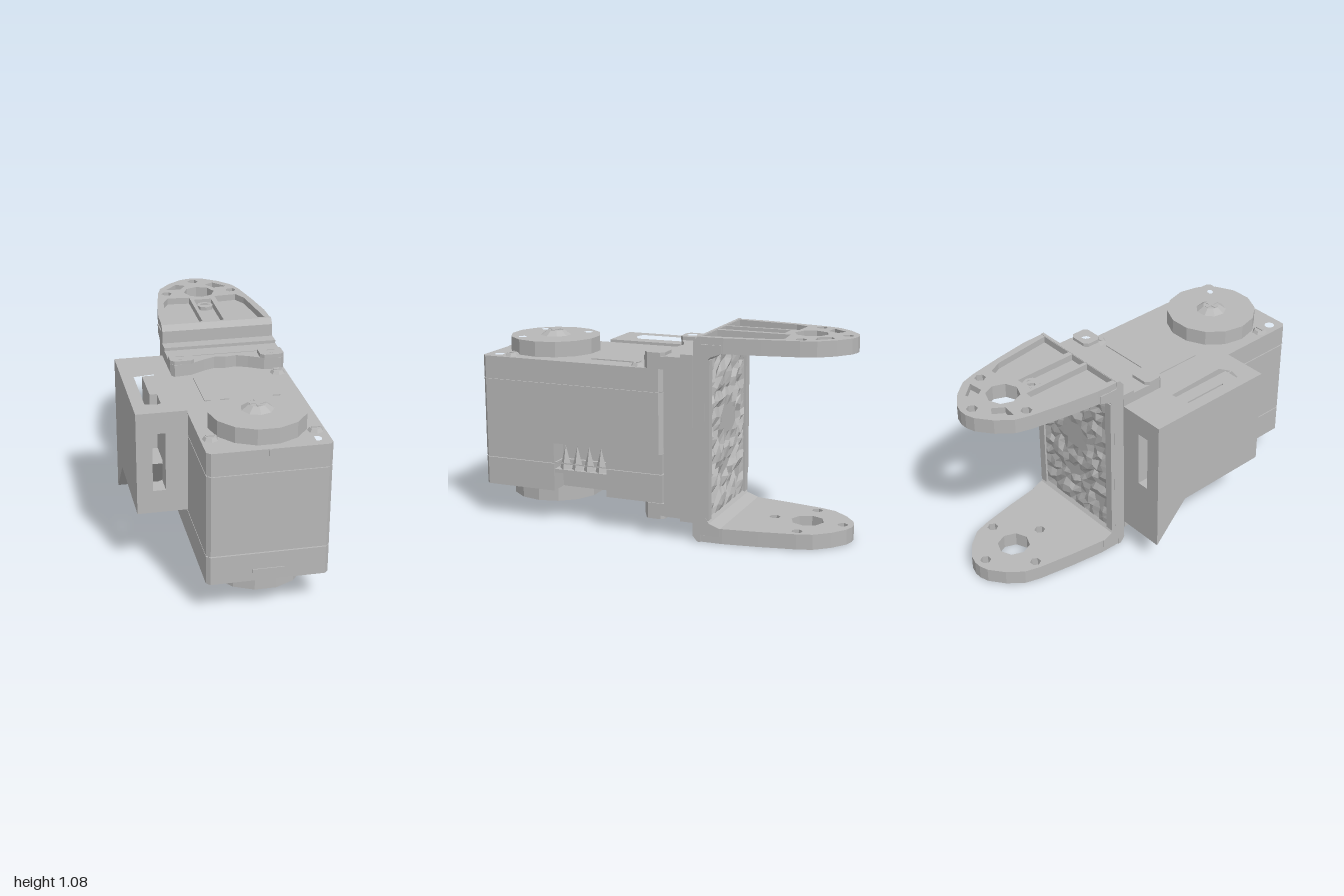
import * as THREE from 'three';

export function createModel() {
  const grey = new THREE.MeshStandardMaterial({ color: 0xb8b8b8, flatShading: true });
  grey.name = 'plain grey';
  const model = new THREE.Group();
  model.name = 'servoWithBrackets';
  // Everything is laid out around the servo's own centre line
  const unit = new THREE.Group();
  unit.name = 'servoUnit';
  unit.position.x = 0.13;
  model.add(unit);

  const add = (name, geo, parent = unit) => {
    const m = new THREE.Mesh(geo, grey);
    m.name = name;
    parent.add(m);
    return m;
  };
  const box = (name, x0, x1, y0, y1, z0, z1, parent) =>
    add(name, new THREE.BoxGeometry(x1 - x0, y1 - y0, z1 - z0)
      .translate((x0 + x1) / 2, (y0 + y1) / 2, (z0 + z1) / 2), parent);
  const poly = pts => new THREE.Shape(pts.map(([x, z]) => new THREE.Vector2(x, -z)));
  const rect = (x0, x1, z0, z1, c = 0) => poly(c
    ? [[x0 + c, z0], [x1 - c, z0], [x1, z0 + c], [x1, z1 - c], [x1 - c, z1], [x0 + c, z1], [x0, z1 - c], [x0, z0 + c]]
    : [[x0, z0], [x1, z0], [x1, z1], [x0, z1]]);
  const disc = (x, z, r, n = 8) => poly(Array.from({ length: n }, (_, i) => {
    const a = (i / n) * Math.PI * 2;
    return [x + r * Math.cos(a), z + r * Math.sin(a)];
  }));
  // Plan outline pulled up from y0 to y1
  const slab = (name, shape, holes, y0, y1, parent) => {
    shape.holes = holes;
    const g = new THREE.ExtrudeGeometry(shape, { depth: y1 - y0, bevelEnabled: false });
    return add(name, g.rotateX(-Math.PI / 2).translate(0, y0, 0), parent);
  };
  // Side outline in (z, y) pulled across from x0 to x1
  const across = (name, pts, x0, x1, parent) => {
    const s = new THREE.Shape(pts.map(p => new THREE.Vector2(...p)));
    const g = new THREE.ExtrudeGeometry(s, { depth: x1 - x0, bevelEnabled: false });
    return add(name, g.rotateY(-Math.PI / 2).translate(x1, 0, 0), parent);
  };

  // Servo case: lower part with the connector notch, middle and cap
  const screwHoles = () => [disc(-0.25, 0.93, 0.028), disc(0.24, 0.93, 0.028)];
  const notched = x => poly([[-0.31, -0.05], [0.31, -0.05], [0.31, 0.27], [x, 0.27],
    [x, 0.58], [0.31, 0.58], [0.31, 0.98], [0.29, 1], [-0.29, 1], [-0.31, 0.98]]);
  slab('caseBase', notched(0.2), screwHoles(), 0.185, 0.337);
  slab('caseLower', notched(0.2), screwHoles(), 0.343, 0.45);
  slab('caseSeam', rect(-0.3, 0.3, -0.04, 0.99), [...screwHoles(), rect(0.2, 0.301 - 0.003, 0.27, 0.58)], 0.337, 0.343);
  slab('caseMiddle', rect(-0.31, 0.31, -0.05, 1, 0.02), screwHoles(), 0.45, 0.775);
  slab('capSeam', rect(-0.303, 0.303, -0.045, 0.993), screwHoles(), 0.775, 0.781);
  slab('caseCap', rect(-0.31, 0.31, -0.05, 1, 0.02), screwHoles(), 0.781, 0.9);
  box('topPanel', -0.2, 0.2, 0.9, 0.906, 0.1, 0.4);
  box('frontTab', -0.08, 0.08, 0.195, 0.25, 1, 1.005);
  box('frontNick', -0.008, 0.008, 0.865, 0.9, 1, 1.004);

  // Connector shelf and pins
  box('connectorShelf', 0.19, 0.3, 0.285, 0.305, 0.27, 0.58);
  for (let i = 0; i < 4; i++) {
    const pin = add('connectorPin', new THREE.ConeGeometry(0.035, 0.13, 4));
    pin.position.set(0.265, 0.37, 0.32 + i * 0.07);
  }

  // Bolts sunk in the case corners
  for (const [x, z] of [[0.26, 0.84], [-0.26, 0.84], [0.26, 0.1]]) {
    const bolt = add('caseBolt', new THREE.CylinderGeometry(0.03, 0.042, 0.018, 7));
    bolt.position.set(x, 0.908, z);
    box('boltSlot', x - 0.022, x + 0.022, 0.916, 0.922, z - 0.006, z + 0.006);
  }

  // Parts repeated on the top and underside, mirrored about the mid height
  const half = (name, mirrored) => {
    const g = new THREE.Group();
    g.name = name;
    if (mirrored) {
      g.scale.y = -1;
      g.position.y = 1.083;
    }
    unit.add(g);

    // Servo horn with four small holes and a cross-head screw
    const hornHoles = [0, 1, 2, 3].map(i => {
      const a = Math.PI / 4 + i * Math.PI / 2;
      return disc(0.19 * Math.cos(a), 0.71 + 0.19 * Math.sin(a), 0.025, 6);
    });
    slab('hornDisc', disc(0, 0.71, 0.248, 14), hornHoles, 0.895, 0.983, g);
    if (!mirrored) {
      const screw = add('hornScrew', new THREE.CylinderGeometry(0.045, 0.088, 0.03, 9), g);
      screw.position.set(0, 0.995, 0.71);
      box('screwCross', -0.04, 0.04, 1.009, 1.013, 0.7, 0.72, g);
      box('screwCross', -0.01, 0.01, 1.009, 1.013, 0.67, 0.75, g);
    } else {
      add('hornSocket', new THREE.TorusGeometry(0.075, 0.012, 4, 6).rotateX(Math.PI / 2), g)
        .position.set(0, 0.983, 0.71);
    }

    // Mounting lip with two ears
    slab('mountLip', poly([[-0.31, -0.15], [0.31, -0.15], [0.31, 0.03], [0.29, 0.055], [0.2, 0.045],
      [0.12, 0], [0.06, -0.025], [0, -0.015], [-0.06, -0.025], [-0.12, 0], [-0.2, 0.045], [-0.29, 0.055], [-0.31, 0.03]]),
    [disc(-0.25, 0, 0.03), disc(0.25, 0, 0.03)], 0.9, 0.965, g);
    for (const s of [-1, 1]) slab('mountEar', rect(s * 0.245 - 0.065, s * 0.245 + 0.065, -0.06, 0.05, 0.02),
      [disc(s * 0.25, 0, 0.03)], 0.965, 0.985, g);

    // Fork arm: thin floor below, rim and ribs above
    const edge = [[0.31, -0.25], [0.302, -0.38], [0.275, -0.57], [0.24, -0.76], [0.215, -0.84],
      [0.15, -0.92], [0.07, -0.98], [0.02, -0.995]];
    const outline = z0 => {
      const right = [[0.305, z0], ...edge.slice(1)];
      return poly([...right, ...right.map(([x, z]) => [-x, z]).reverse()]);
    };
    const bores = () => [disc(0, -0.75, 0.088), disc(0, -0.94, 0.03, 6),
      disc(-0.19, -0.75, 0.03, 6), disc(0.19, -0.75, 0.03, 6)];
    slab('armFloor', outline(-0.3), [...bores(), disc(0, -0.57, 0.03, 6)], 1.0, 1.045, g);
    const pockets = [poly([[-0.055, -0.265], [0.045, -0.265], [0.045, -0.62], [-0.055, -0.62]])];
    for (const s of [-1, 1]) {
      pockets.push(poly([[s * 0.075, -0.265], [s * 0.275, -0.265], [s * 0.235, -0.6], [s * 0.2, -0.67], [s * 0.075, -0.66]]));
      pockets.push(poly([[s * 0.1, -0.81], [s * 0.18, -0.82], [s * 0.11, -0.9], [s * 0.06, -0.87]]));
    }
    slab('armRim', outline(-0.25), [...bores(), ...pockets], 1.045, 1.081, g);
    slab('armBoss', disc(0, -0.57, 0.046), [disc(0, -0.57, 0.03, 6)], 1.045, 1.065, g);
  };
  half('upperHalf', false);
  half('lowerHalf', true);

  // Mounting plate between servo and fork
  box('mountPlate', -0.31, 0.31, 0.115, 0.968, -0.2, -0.06);
  box('mountBacking', -0.31, 0.31, 0.1, 0.985, -0.22, -0.15);

  // Fork back with chamfered corners
  across('forkBack', [[-0.22, 0.03], [-0.245, 0], [-0.262, 0], [-0.262, 0.04], [-0.37, 0.04], [-0.37, 0.083],
    [-0.31, 0.105], [-0.285, 0.14], [-0.285, 0.943], [-0.31, 0.978], [-0.37, 1.0], [-0.37, 1.043],
    [-0.262, 1.043], [-0.262, 1.083], [-0.245, 1.083], [-0.22, 1.053]], -0.308, 0.308);
  for (const s of [-1, 1]) box('forkBackEdge', s * 0.285 - 0.022, s * 0.285 + 0.022, 0.12, 0.963, -0.308, -0.28);

  // Rough faceted relief on the inner face of the fork, smooth in the middle
  let seed = 7;
  const rnd = () => (seed = (seed * 16807) % 2147483647) / 2147483647;
  const relief = new THREE.PlaneGeometry(0.53, 0.84, 13, 21);
  const p = relief.attributes.position;
  for (let i = 0; i < p.count; i++) {
    const x = p.getX(i), y = p.getY(i);
    const border = Math.abs(x) > 0.25 || Math.abs(y) > 0.4;
    const middle = Math.hypot(x, y - 0.05) < 0.11;
    const k = border ? 0 : 0.022;
    p.setXYZ(i, x + (rnd() - 0.5) * k, y + (rnd() - 0.5) * k,
      border ? 0.01 : middle ? 0.014 : rnd() < 0.45 ? 0.001 : 0.013 + rnd() * 0.012);
  }
  relief.computeVertexNormals();
  add('forkRelief', relief.rotateY(Math.PI).translate(0, 0.5415, -0.286));

  // Side cable holder: crossing openings from the top and from the front
  const holder = new THREE.Group();
  holder.name = 'cableHolder';
  unit.add(holder);
  const x0 = -0.575, x1 = -0.31, zB = -0.22, zF = 0.525;
  const slot = () => poly([[-0.51, 0.05], [-0.4, 0.035], [-0.39, 0.39], [-0.45, 0.425], [-0.51, 0.41]]);
  slab('holderTop', rect(x0, x1, zB, zF), [slot()], 0.8, 0.915, holder);
  slab('holderFloor', rect(x0, x1, zB, zF), [slot()], 0.355, 0.48, holder);
  box('holderOuterWall', x0, -0.515, 0.48, 0.8, zB, zF, holder);
  box('holderInnerWall', -0.385, x1, 0.48, 0.8, zB, zF, holder);
  for (const [a, b] of [[zB, 0.035], [0.425, zF]]) {
    box('holderOuterPost', -0.515, -0.492, 0.48, 0.8, a, b, holder);
    box('holderInnerPost', -0.425, -0.385, 0.48, 0.8, a, b, holder);
  }
  across('holderFoot', [[zB, 0.14], [-0.02, 0.355], [zB, 0.355]], x0, x1, holder);

  return model;
}
